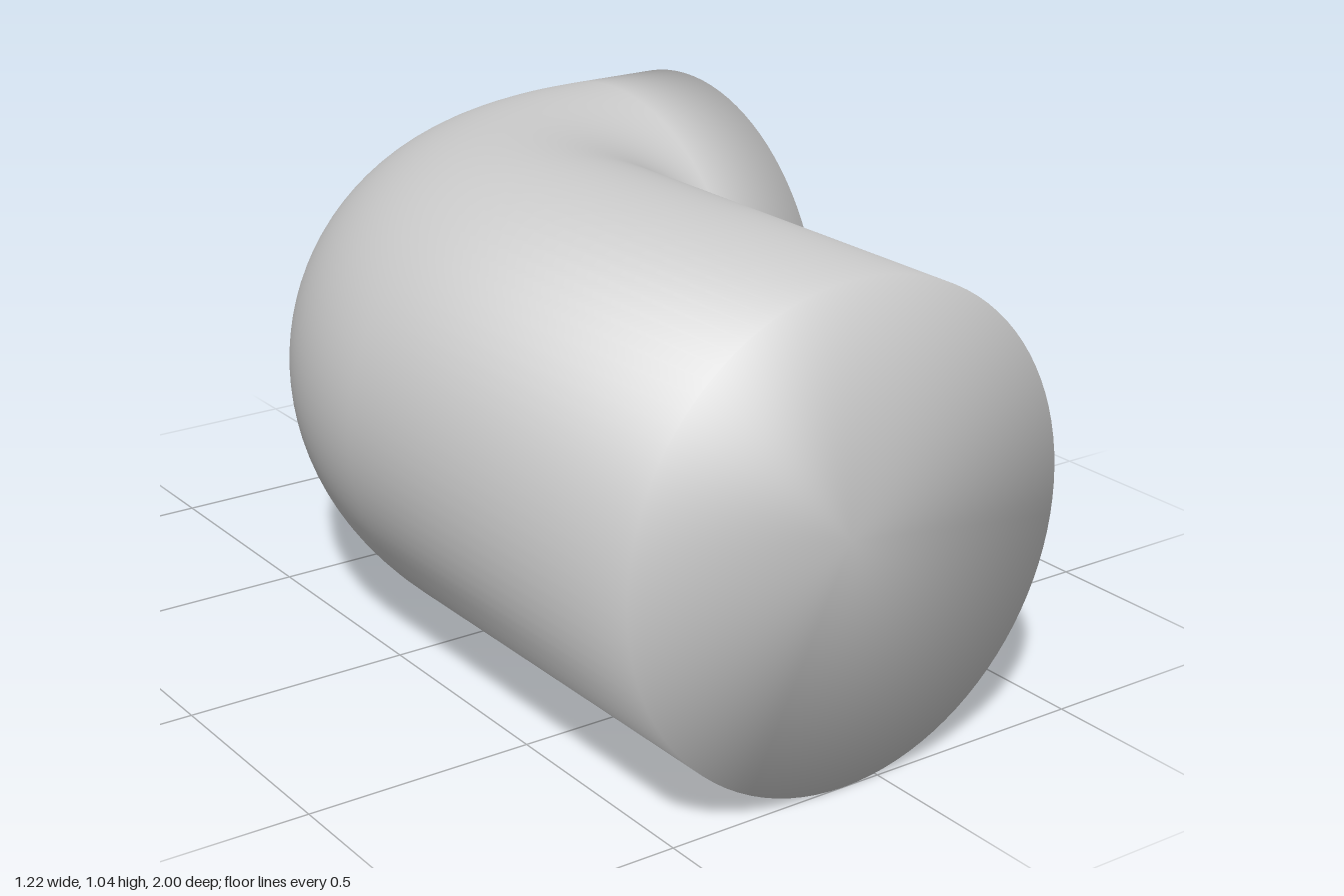
import * as THREE from 'three';

const R = 0.5225;      // pipe radius
const BEND = 0.4775;   // radius of the bend's centreline
const PIVOT_X = 0.39;  // the bend turns about the vertical line x = PIVOT_X, z = 0
const SIDES = 96;
const BEND_STEPS = 40;

// Cross-sections along the elbow: turn angle, straight offset along the pipe,
// radius, and how far the normal leans along the pipe (soft rims at the ends).
function crossSections() {
  const half = Math.PI / 2;
  const rings = [
    { turn: 0, offset: -1, radius: 0, lean: -1 },
    { turn: 0, offset: -1, radius: R, lean: -1 },
  ];
  for (let i = 0; i <= BEND_STEPS; i++) {
    rings.push({ turn: (half * i) / BEND_STEPS, offset: 0, radius: R, lean: 0 });
  }
  rings.push({ turn: half, offset: 0.22, radius: R, lean: 1 });
  rings.push({ turn: half, offset: 0.22, radius: 0, lean: 1 });
  return rings;
}

// Joins the cross-sections into one closed, smooth skin.
function loft(rings) {
  const positions = [], normals = [], indices = [];
  const up = new THREE.Vector3(0, 1, 0);
  const row = SIDES + 1;
  rings.forEach(({ turn, offset, radius, lean }, i) => {
    const out = new THREE.Vector3(-Math.cos(turn), 0, -Math.sin(turn));
    const along = new THREE.Vector3(Math.sin(turn), 0, -Math.cos(turn));
    const centre = new THREE.Vector3(PIVOT_X, R, 0)
      .addScaledVector(out, BEND)
      .addScaledVector(along, offset);
    for (let j = 0; j <= SIDES; j++) {
      const a = (j / SIDES) * Math.PI * 2;
      const side = out.clone().multiplyScalar(Math.cos(a)).addScaledVector(up, Math.sin(a));
      const p = centre.clone().addScaledVector(side, radius);
      const n = side.multiplyScalar(radius / R).addScaledVector(along, lean).normalize();
      positions.push(p.x, p.y, p.z);
      normals.push(n.x, n.y, n.z);
      if (i < rings.length - 1 && j < SIDES) {
        const k = i * row + j;
        if (radius > 0) indices.push(k, k + 1, k + row);
        if (rings[i + 1].radius > 0) indices.push(k + 1, k + row + 1, k + row);
      }
    }
  });
  const geometry = new THREE.BufferGeometry();
  geometry.setAttribute('position', new THREE.Float32BufferAttribute(positions, 3));
  geometry.setAttribute('normal', new THREE.Float32BufferAttribute(normals, 3));
  geometry.setIndex(indices);
  return geometry;
}

export function createModel() {
  const group = new THREE.Group();
  group.name = 'pipeElbow';

  // Long leg, quarter bend, short leg and both end faces
  const elbow = new THREE.Mesh(
    loft(crossSections()),
    new THREE.MeshStandardMaterial({ color: 0xcccccc })
  );
  elbow.name = 'elbow';
  group.add(elbow);
  return group;
}
